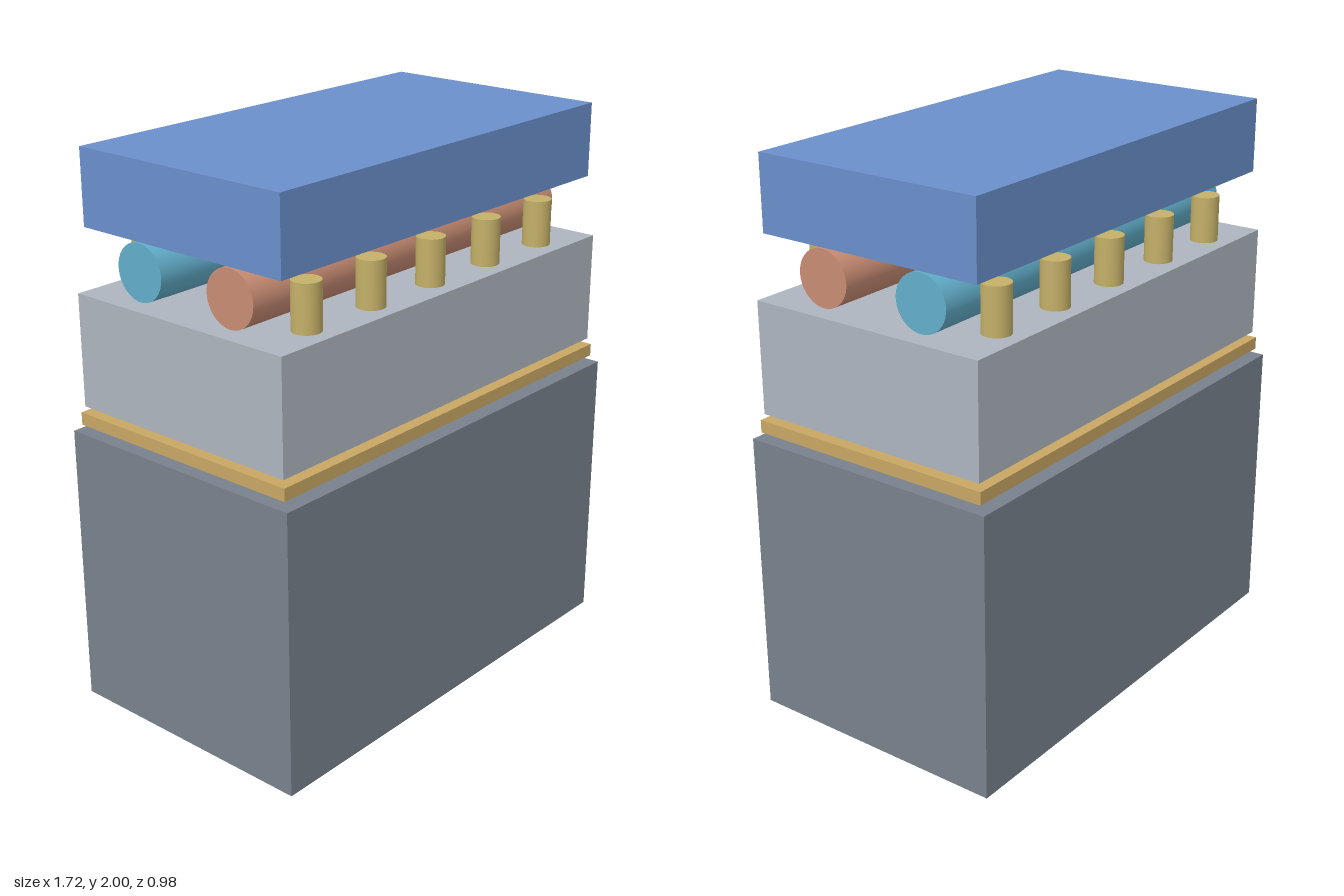
import * as THREE from 'three';

function material(name, color) {
  const m = new THREE.MeshStandardMaterial({ color });
  m.name = name;
  return m;
}

export function createModel() {
  const model = new THREE.Group();
  model.name = 'explodedEngine';

  const darkGrey = material('dark grey iron', 0x78818c);
  const brass = material('gasket gold', 0xc8a764);
  const lightGrey = material('light grey alloy', 0xaeb5bf);
  const blue = material('cover blue', 0x6a8fcb);
  const copper = material('copper', 0xc88c74);
  const teal = material('teal', 0x62aeca);
  const yellow = material('valve yellow', 0xc4b068);

  // Box layer given by its width, depth and bottom and top heights
  function layer(name, width, depth, y0, y1, mat) {
    const mesh = new THREE.Mesh(new THREE.BoxGeometry(width, y1 - y0, depth), mat);
    mesh.name = name;
    mesh.position.y = (y0 + y1) / 2;
    model.add(mesh);
  }

  // Stacked, separated layers
  layer('engineBlock', 1.717, 0.98, 0, 1.022, darkGrey);
  layer('headGasket', 1.684, 0.93, 1.046, 1.091, brass);
  layer('cylinderHead', 1.667, 0.907, 1.113, 1.512, lightGrey);
  layer('valveCover', 1.616, 0.867, 1.735, 2, blue);

  // Camshafts lying along x
  const shaft = new THREE.CylinderGeometry(0.099, 0.099, 1.576, 48);
  shaft.rotateZ(Math.PI / 2);
  for (const [name, z, mat] of [['frontCamshaft', 0.2, copper], ['rearCamshaft', -0.2, teal]]) {
    const mesh = new THREE.Mesh(shaft, mat);
    mesh.name = name;
    mesh.position.set(0, 1.624, z);
    model.add(mesh);
  }

  // Two rows of five upright valves
  const valve = new THREE.CylinderGeometry(0.05, 0.05, 0.167, 32);
  for (const [row, z] of [['front', 0.354], ['rear', -0.354]]) {
    for (let i = -2; i <= 2; i++) {
      const mesh = new THREE.Mesh(valve, yellow);
      mesh.name = `${row}Valve${i + 3}`;
      mesh.position.set(i * 0.306, 1.5945, z);
      model.add(mesh);
    }
  }

  return model;
}
